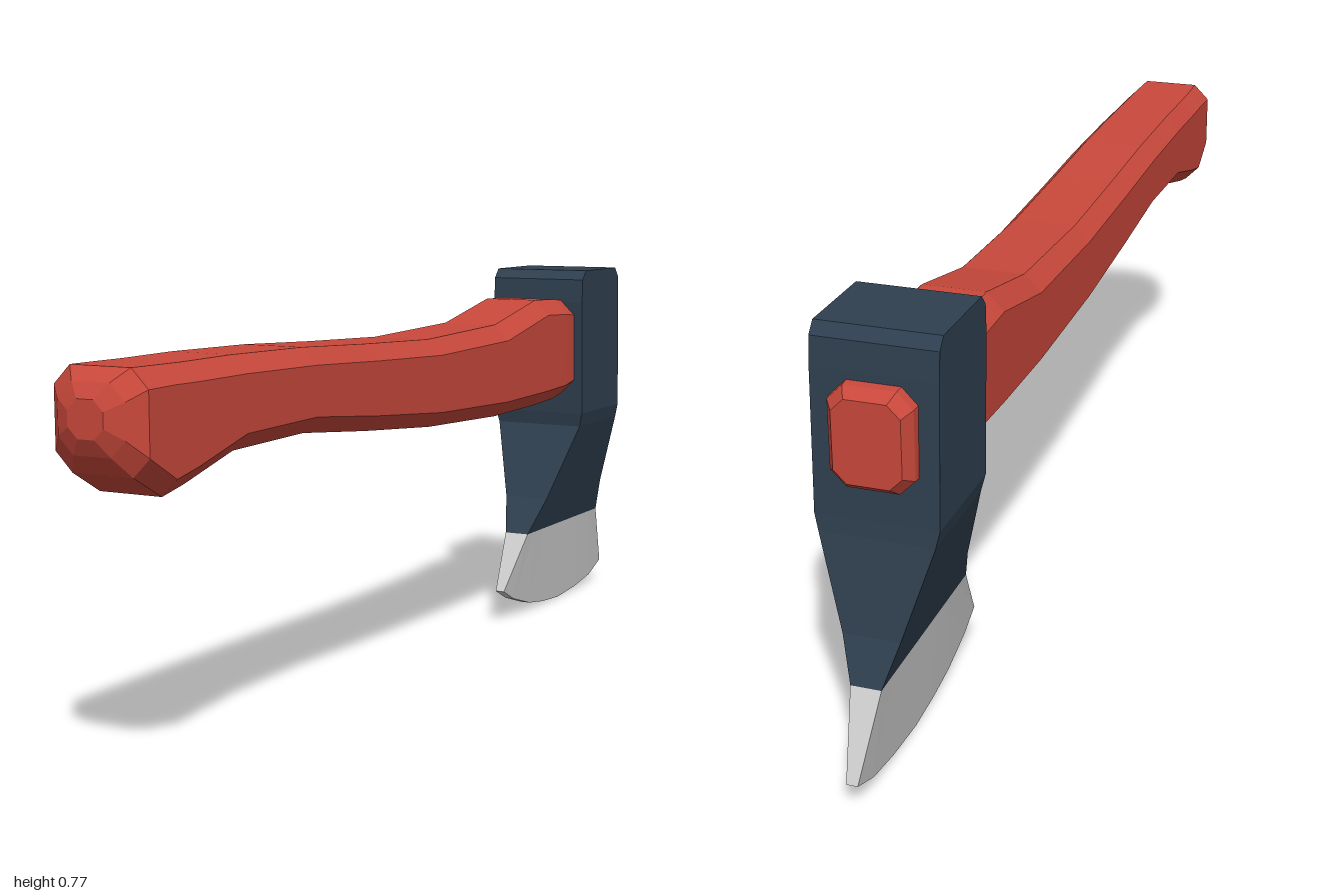
import * as THREE from 'three';

// Skin closed rings of points (counter-clockwise about the direction of travel) and cap both ends.
function loft(name, rings, color) {
  const pos = [];
  const tri = (...pts) => pts.forEach((p) => pos.push(...p));
  const n = rings[0].length;
  for (let i = 0; i < rings.length - 1; i++) {
    const [r, s] = [rings[i], rings[i + 1]];
    for (let j = 0; j < n; j++) {
      const k = (j + 1) % n;
      tri(r[j], r[k], s[k]);
      tri(r[j], s[k], s[j]);
    }
  }
  const first = rings[0], last = rings[rings.length - 1];
  for (let j = 1; j < n - 1; j++) {
    tri(first[0], first[j + 1], first[j]);
    tri(last[0], last[j], last[j + 1]);
  }
  const geometry = new THREE.BufferGeometry();
  geometry.setAttribute('position', new THREE.Float32BufferAttribute(pos, 3));
  geometry.computeVertexNormals();
  const mesh = new THREE.Mesh(geometry, new THREE.MeshStandardMaterial({ color, flatShading: true }));
  mesh.name = name;
  return mesh;
}

// Chamfered rectangle across the handle
function octagon([z, bottom, top, w, c]) {
  return [
    [w, bottom + c, z], [w, top - c, z], [w - c, top, z], [c - w, top, z],
    [-w, top - c, z], [-w, bottom + c, z], [c - w, bottom, z], [w - c, bottom, z],
  ];
}

function createHandle() {
  // z, bottom, top, half width, chamfer; from the head to the rounded butt
  const stations = [
    [-0.89, 0.525, 0.67, 0.058, 0.022],
    [-0.87, 0.51, 0.685, 0.072, 0.027],
    [-0.72, 0.505, 0.695, 0.085, 0.032],
    [-0.6, 0.487, 0.708, 0.09, 0.032],
    [-0.5, 0.483, 0.712, 0.09, 0.032],
    [-0.3, 0.48, 0.672, 0.09, 0.032],
    [0, 0.492, 0.664, 0.09, 0.03],
    [0.25, 0.513, 0.674, 0.09, 0.03],
    [0.47, 0.535, 0.685, 0.09, 0.03],
    [0.69, 0.532, 0.69, 0.09, 0.03],
    [0.83, 0.496, 0.69, 0.09, 0.03],
    [0.89, 0.484, 0.691, 0.09, 0.03],
    [0.96, 0.523, 0.692, 0.09, 0.032],
    [0.985, 0.555, 0.67, 0.064, 0.028],
    [1, 0.583, 0.645, 0.034, 0.018],
  ];
  return loft('handle', stations.map(octagon), 0xc9483b);
}

function createHead() {
  // y, half width, front z, back z; from the blade up to the poll
  const levels = [
    [0.185, 0.027, -0.54, -0.93],
    [0.26, 0.05, -0.59, -0.9],
    [0.42, 0.1, -0.655, -0.865],
    [0.45, 0.107, -0.65, -0.862],
    [0.7, 0.108, -0.64, -0.852],
    [0.75, 0.108, -0.642, -0.847],
    [0.77, 0.108, -0.66, -0.83],
  ];
  const rings = levels.map(([y, w, f, b]) => [[-w, y, f], [w, y, f], [w, y, b], [-w, y, b]]);
  return loft('axeHead', rings, 0x2f3f4f);
}

function createBlade() {
  // z and y along the curved cutting edge, front to back
  const edge = [
    [-0.455, 0.068], [-0.505, 0.043], [-0.59, 0.017], [-0.665, 0.006],
    [-0.75, 0], [-0.85, 0.007], [-0.935, 0.02], [-1, 0.045],
  ];
  const rings = edge.map(([z, y]) => {
    const t = (-0.455 - z) / 0.545;
    const topZ = -0.54 - 0.39 * t;
    return [[0.027, 0.185, topZ], [0.01, y, z], [-0.01, y, z], [-0.027, 0.185, topZ]];
  });
  return loft('blade', rings, 0xcccccc);
}

export function createModel() {
  const axe = new THREE.Group();
  axe.name = 'axe';
  axe.add(createHandle(), createHead(), createBlade());
  return axe;
}
